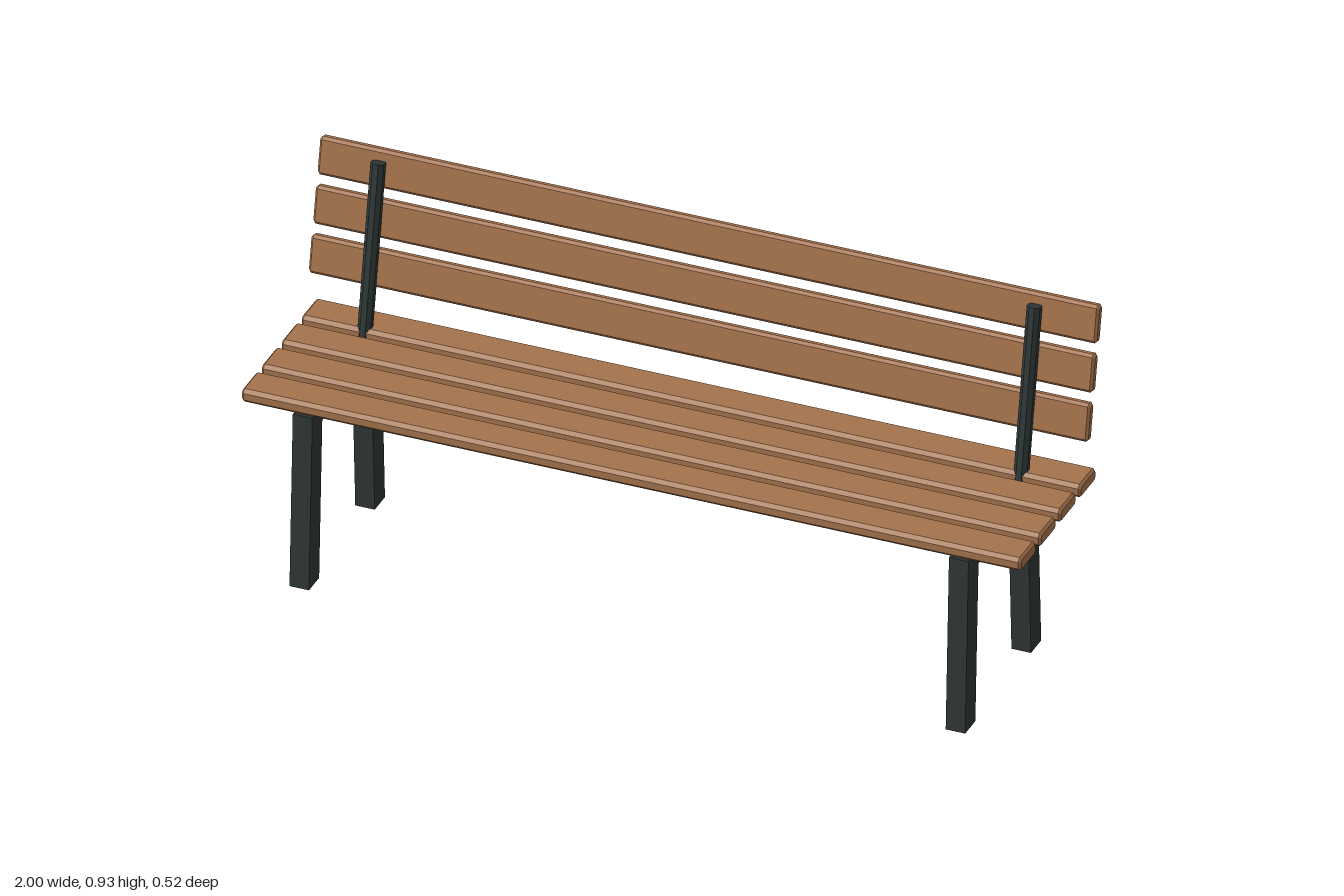
import * as THREE from 'three';

const TILT = -0.195; // backward lean of the backrest

// Bar along x with a chamfered cross-section (height h, depth d) and chamfered ends
function slatGeometry(length, h, d, c) {
  const a = d / 2, b = h / 2, end = 0.006;
  const shape = new THREE.Shape([
    [a - c, -b], [a, c - b], [a, b - c], [a - c, b],
    [c - a, b], [-a, b - c], [-a, c - b], [c - a, -b],
  ].map(([x, y]) => new THREE.Vector2(x, y)));
  const geo = new THREE.ExtrudeGeometry(shape, {
    depth: length - 2 * end, bevelEnabled: true, bevelSegments: 1,
    bevelThickness: end, bevelSize: end, bevelOffset: -end,
  });
  geo.translate(0, 0, end - length / 2);
  return geo.rotateY(Math.PI / 2);
}

// Splayed portal frame, drawn as [z, y] points and extruded along x
function legFrameGeometry(width) {
  const shape = new THREE.Shape([
    [0.262, 0], [0.242, 0.464], [-0.178, 0.464], [-0.2, 0],
    [-0.138, 0], [-0.117, 0.425], [0.181, 0.425], [0.2, 0],
  ].map(([z, y]) => new THREE.Vector2(-z, y)));
  const geo = new THREE.ExtrudeGeometry(shape, { depth: width, bevelEnabled: false });
  geo.translate(0, 0, -width / 2);
  return geo.rotateY(Math.PI / 2);
}

export function createModel() {
  const wood = new THREE.MeshStandardMaterial({ color: 0xa5724c });
  wood.name = 'wood';
  const metal = new THREE.MeshStandardMaterial({ color: 0x2e3736 });
  metal.name = 'darkMetal';

  const bench = new THREE.Group();
  bench.name = 'bench';
  const add = (name, geo, mat, x, y, z, tilt = 0) => {
    const mesh = new THREE.Mesh(geo, mat);
    mesh.name = name;
    mesh.position.set(x, y, z);
    mesh.rotation.x = tilt;
    bench.add(mesh);
  };

  // Seat slats
  const seatGeo = slatGeometry(2, 0.036, 0.098, 0.009);
  for (let i = 0; i < 4; i++) add('seatSlat', seatGeo, wood, 0, 0.482, 0.193 - i * 0.1215);

  // Backrest slats
  const backGeo = slatGeometry(2, 0.097, 0.027, 0.007);
  for (let i = 0; i < 3; i++) {
    add('backSlat', backGeo, wood, 0, 0.641 + i * 0.121, -0.187 - i * 0.0267, TILT);
  }

  // Leg frames and octagonal backrest posts, one on each side
  const frameGeo = legFrameGeometry(0.05);
  const postGeo = new THREE.CylinderGeometry(0.0185, 0.0185, 0.445, 8, 1).toNonIndexed();
  postGeo.rotateY(Math.PI / 8);
  postGeo.computeVertexNormals();
  for (const side of [-1, 1]) {
    add('legFrame', frameGeo, metal, side * 0.842, 0, 0);
    add('backPost', postGeo, metal, side * 0.842, 0.69, -0.177, -0.188);
  }
  return bench;
}
